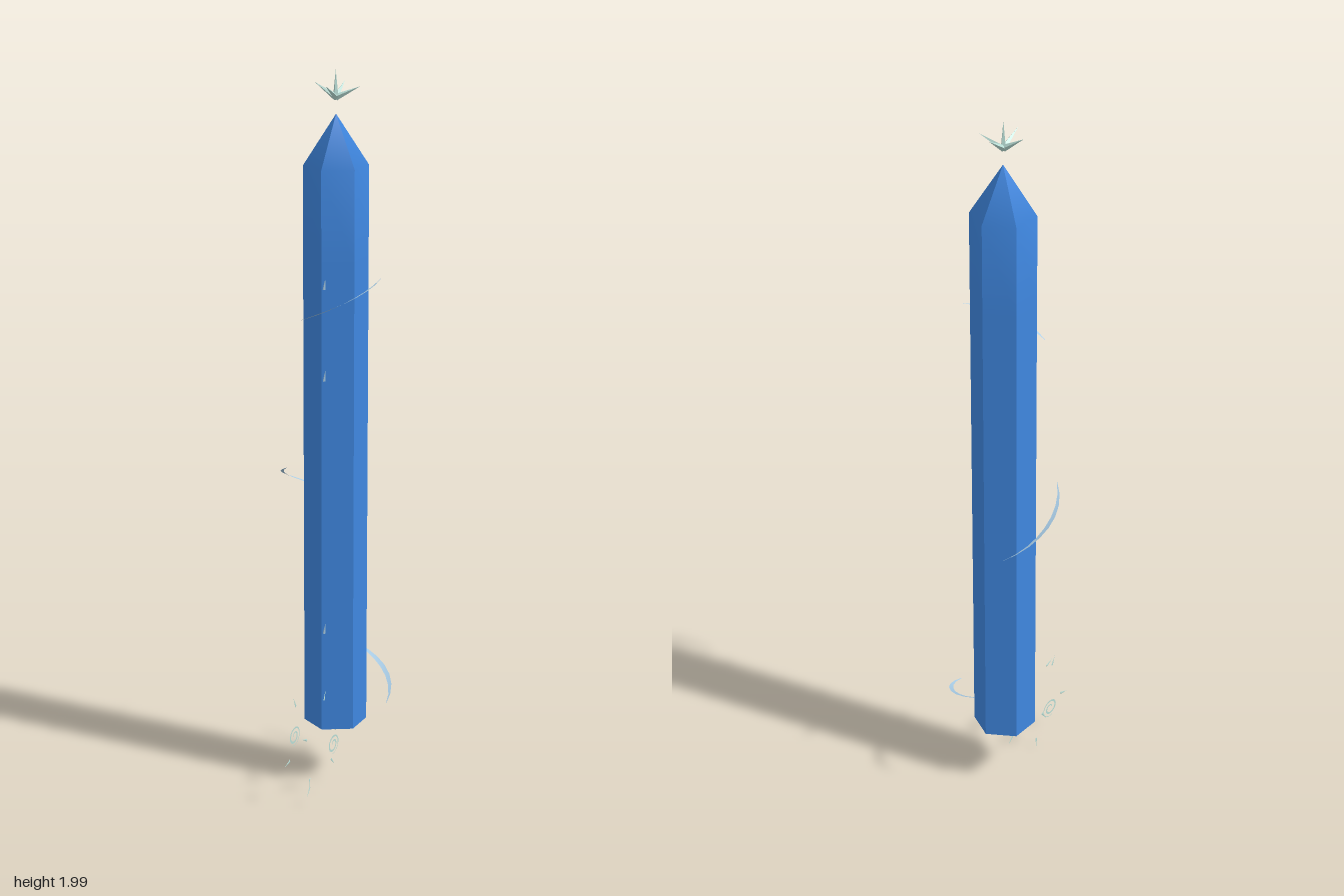
import * as THREE from 'three';

const CX = -0.003, CZ = -0.057; // axis of the shaft
const RAD = Math.PI / 180;

function geometry(points, index) {
  const g = new THREE.BufferGeometry();
  g.setAttribute('position', new THREE.Float32BufferAttribute(points, 3));
  g.setIndex(index);
  g.computeVertexNormals();
  return g;
}

// Strip joining pairs of edge points
function ribbon(n, pair) {
  const p = [], idx = [];
  for (let i = 0; i <= n; i++) {
    p.push(...pair(i / n));
    const a = i * 2;
    if (i < n) idx.push(a, a + 1, a + 2, a + 1, a + 3, a + 2);
  }
  return geometry(p, idx);
}

// Thin four-sided spike from one point to another
function spike(from, to, width, flat = 1) {
  const dir = new THREE.Vector3().subVectors(to, from);
  const len = dir.length();
  const g = new THREE.ConeGeometry(width, len, 4).toNonIndexed();
  g.computeVertexNormals();
  g.translate(0, len / 2, 0).scale(1, 1, flat);
  g.applyQuaternion(new THREE.Quaternion().setFromUnitVectors(new THREE.Vector3(0, 1, 0), dir.normalize()));
  return g.translate(from.x, from.y, from.z);
}

export function createModel() {
  const model = new THREE.Group();
  const blue = new THREE.MeshStandardMaterial({ color: 0x3f87e0 });
  blue.name = 'crystal blue';
  const paleBlue = new THREE.MeshStandardMaterial({ color: 0xa8cce6, side: THREE.DoubleSide });
  paleBlue.name = 'pale blue';
  const mint = new THREE.MeshStandardMaterial({ color: 0xb8dcd4, side: THREE.DoubleSide });
  mint.name = 'pale mint';
  const add = (name, geo, mat, parent = model) => {
    const m = new THREE.Mesh(geo, mat);
    m.name = name;
    parent.add(m);
    return m;
  };

  // Hexagonal shaft with a pointed tip: one strip per side, smooth lengthwise
  const shaft = new THREE.Group();
  shaft.name = 'shaft';
  shaft.position.set(CX, 0, CZ);
  model.add(shaft);
  const rings = [[0.175, 0.087], [1.5, 0.087], [1.75, 0.087], [1.885, 0]];
  for (let k = 0; k < 6; k++) {
    const a = k * 60 * RAD, b = a + 60 * RAD;
    const g = ribbon(3, (t) => {
      const [y, r] = rings[Math.round(t * 3)];
      return [r * Math.sin(a), y, r * Math.cos(a), r * Math.sin(b), y, r * Math.cos(b)];
    });
    add('shaftSide', g, blue, shaft);
  }
  const base = add('shaftBase', new THREE.CircleGeometry(0.087, 6, Math.PI / 2), blue, shaft);
  base.rotation.x = Math.PI / 2;
  base.position.y = 0.175;

  // Crescent trails winding around the shaft: radius, angles and heights
  const trails = [
    [0.157, 0, -108, 0.25, 0.36],
    [0.15, 233, 126, 0.81, 0.94],
    [0.133, 0, 108, 1.46, 1.355],
  ];
  trails.forEach(([r, a0, a1, y0, y1]) => {
    const g = ribbon(8, (t) => {
      const a = (a0 + (a1 - a0) * t) * RAD, y = y0 + (y1 - y0) * t;
      const w = 0.001 + 0.012 * Math.sin(Math.PI * t);
      const c = Math.cos(a), s = Math.sin(a), q = r - w;
      return [CX + c * r, y + w * 0.15, CZ + s * r, CX + c * q, y - w * 0.15, CZ + s * q];
    });
    add('trail', g, paleBlue);
  });

  // Starburst above the tip
  const star = new THREE.Group();
  star.name = 'starburst';
  model.add(star);
  const heart = new THREE.Vector3(CX, 1.928, -0.055);
  [[-0.062, 1.965, -0.05], [0.058, 1.958, -0.074], [-0.001, 1.965, 0.008], [-0.005, 1.965, -0.114]].forEach((tip) => {
    add('starBlade', spike(heart, new THREE.Vector3(...tip), 0.009), mint, star);
  });
  add('starPoint', spike(heart, new THREE.Vector3(CX, 2, -0.055), 0.008), mint, star);

  // Pair of flat spirals beside the foot
  for (const side of [-1, 1]) {
    const g = ribbon(28, (t) => {
      const a = t * Math.PI * 3.6, r = 0.006 + 0.027 * t, q = r + 0.007 * Math.sin(Math.PI * (0.1 + 0.85 * t));
      const c = Math.cos(a), s = Math.sin(a) * 0.85;
      return [0, s * r, c * r, 0, s * q, c * q];
    });
    add('spiral', g, mint).position.set(side * 0.06 + CX, 0.163, 0.079);
  }

  // Spark dashes radiating around the foot
  const sparks = [
    [-0.036, 0.29, 0.13], [0.028, 0.218, 0.197], [-0.025, 0.135, 0.197], [0.023, 0.045, 0.165],
    [-0.02, 0.022, 0.071], [0.012, 0.064, -0.01], [-0.003, 0.14, -0.07], [0.01, 0.285, 0.036],
  ];
  sparks.forEach(([x, y, z]) => {
    const mid = new THREE.Vector3(x, y, z);
    const out = new THREE.Vector3(x * 0.3, y - 0.163, z - 0.075).setLength(0.016);
    const g = spike(mid.clone().sub(out), mid.clone().add(out), 0.005, 0.8);
    g.translate(-x, 0, 0).scale(0.25, 1, 1).translate(x, 0, 0);
    add('spark', g, mint);
  });

  // Small glints along the front edge
  [0.48, 1.2, 1.45].forEach((y) => {
    add('glint', spike(new THREE.Vector3(0.005, y - 0.015, 0.03), new THREE.Vector3(0.01, y + 0.015, 0.033), 0.004), paleBlue);
  });
  return model;
}
